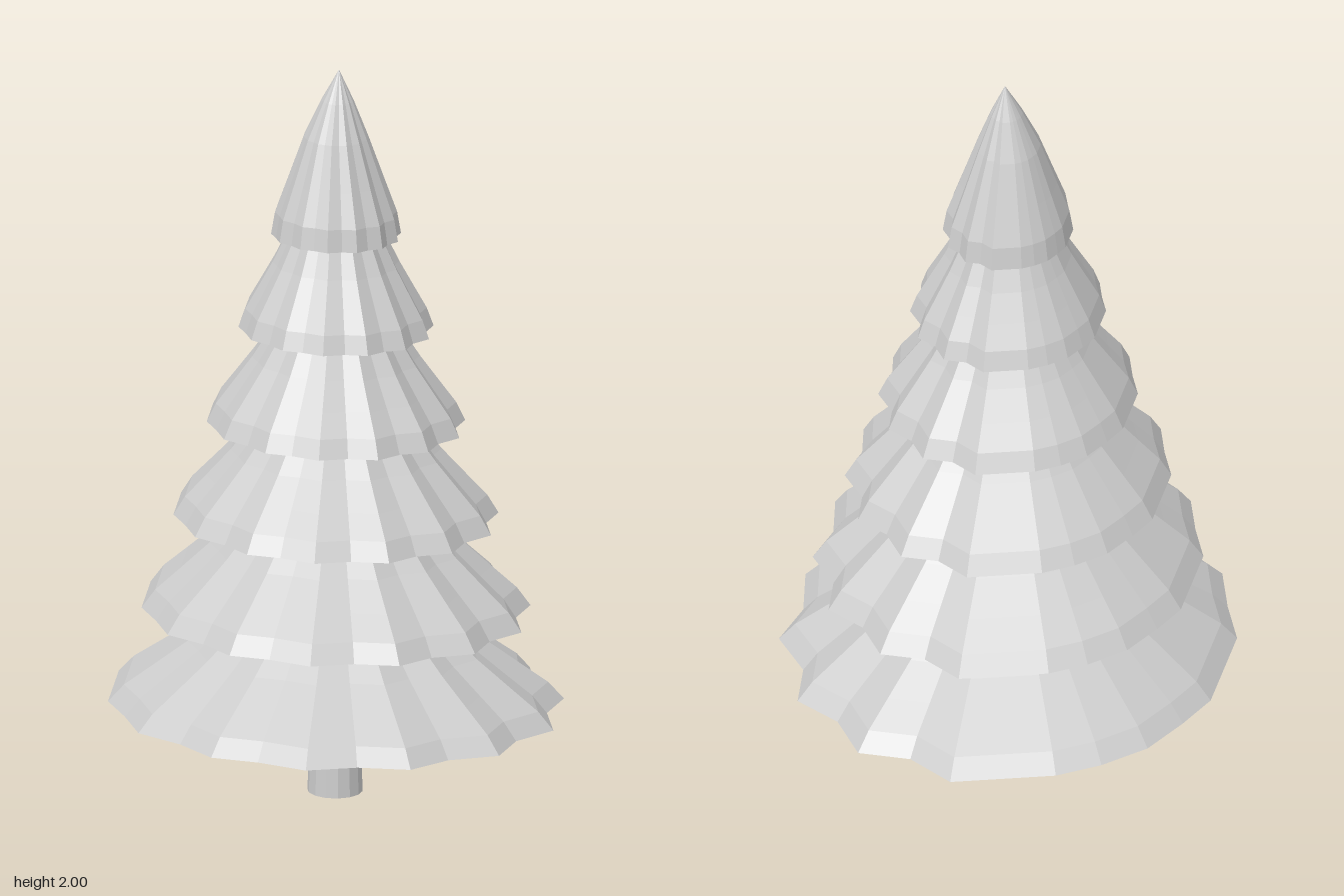
import * as THREE from 'three';

// Jagged outline of the lowest tier, seen from above: x, z pairs
const OUTLINE = [
  [0.13, -0.69], [0.24, -0.58], [0.38, -0.55], [0.44, -0.40], [0.55, -0.30], [0.54, -0.15], [0.61, 0],
  [0.55, 0.14], [0.55, 0.31], [0.44, 0.41], [0.38, 0.55], [0.24, 0.59], [0.13, 0.68], [-0.01, 0.655],
  [-0.15, 0.68], [-0.27, 0.60], [-0.39, 0.55], [-0.46, 0.42], [-0.56, 0.31], [-0.58, 0.15], [-0.61, 0],
  [-0.58, -0.15], [-0.55, -0.30], [-0.48, -0.41], [-0.39, -0.53], [-0.27, -0.61], [-0.15, -0.66], [-0.01, -0.675],
];

// Bough profiles: fraction of the tier's radius, height above its hem
const BOUGH = [[1, 0], [0.93, 0.05], [0.8, 0.11], [0.65, 0.18], [0.5, 0.26], [0.3, 0.36]];
const TIP = [[1, 0], [0.94, 0.06], [0.75, 0.15], [0.5, 0.27], [0.25, 0.37], [0, 0.455]];

// Lowest tier first: hem height, scale of the outline, height factor
const TIERS = [
  [0.248, 1, 0.93], [0.508, 0.853, 1], [0.766, 0.713, 1],
  [1.024, 0.567, 1], [1.287, 0.428, 1], [1.545, 0.285, 1],
];

// Faceted tier with a flat underside; the hem is slightly tilted
function tierGeometry(hem, scale, rise, profile) {
  const n = OUTLINE.length;
  const positions = [];
  const index = [];
  for (const [f, h] of profile) {
    for (const [ox, oz] of OUTLINE) {
      const x = ox * scale * f;
      const z = oz * scale * f;
      positions.push(x - 0.008 * Math.min(1, f * 2), hem + h * rise - 0.024 * x + 0.012 * z, z);
    }
  }
  for (let j = 0; j < profile.length - 1; j++) {
    for (let i = 0; i < n; i++) {
      const a = j * n + i;
      const b = j * n + (i + 1) % n;
      const c = a + n;
      const d = b + n;
      // Alternate the diagonals so the facets follow the points of the hem
      if (i % 2) index.push(a, c, b, b, c, d);
      else index.push(a, c, d, a, d, b);
    }
  }
  // Underside
  const centre = positions.length / 3;
  positions.push(-0.008, hem, 0);
  for (let i = 0; i < n; i++) index.push(centre, i, (i + 1) % n);

  const indexed = new THREE.BufferGeometry();
  indexed.setAttribute('position', new THREE.Float32BufferAttribute(positions, 3));
  indexed.setIndex(index);
  const geometry = indexed.toNonIndexed();
  geometry.computeVertexNormals();
  return geometry;
}

export function createModel() {
  const tree = new THREE.Group();
  tree.name = 'firTree';
  const grey = new THREE.MeshStandardMaterial({ color: 0xcccccc, flatShading: true });
  grey.name = 'light grey';

  // Oval trunk, its top hidden in the lowest tier
  const trunk = new THREE.Mesh(new THREE.CylinderGeometry(0.062, 0.074, 0.3, 14), grey);
  trunk.name = 'trunk';
  trunk.scale.z = 1.12;
  trunk.position.set(-0.011, 0.15, 0.005);
  tree.add(trunk);

  // Boughs
  TIERS.forEach(([hem, scale, rise], i) => {
    const top = i === TIERS.length - 1;
    const tier = new THREE.Mesh(tierGeometry(hem, scale, rise, top ? TIP : BOUGH), grey);
    tier.name = top ? 'treeTip' : `boughTier${i + 1}`;
    tree.add(tier);
  });
  return tree;
}
